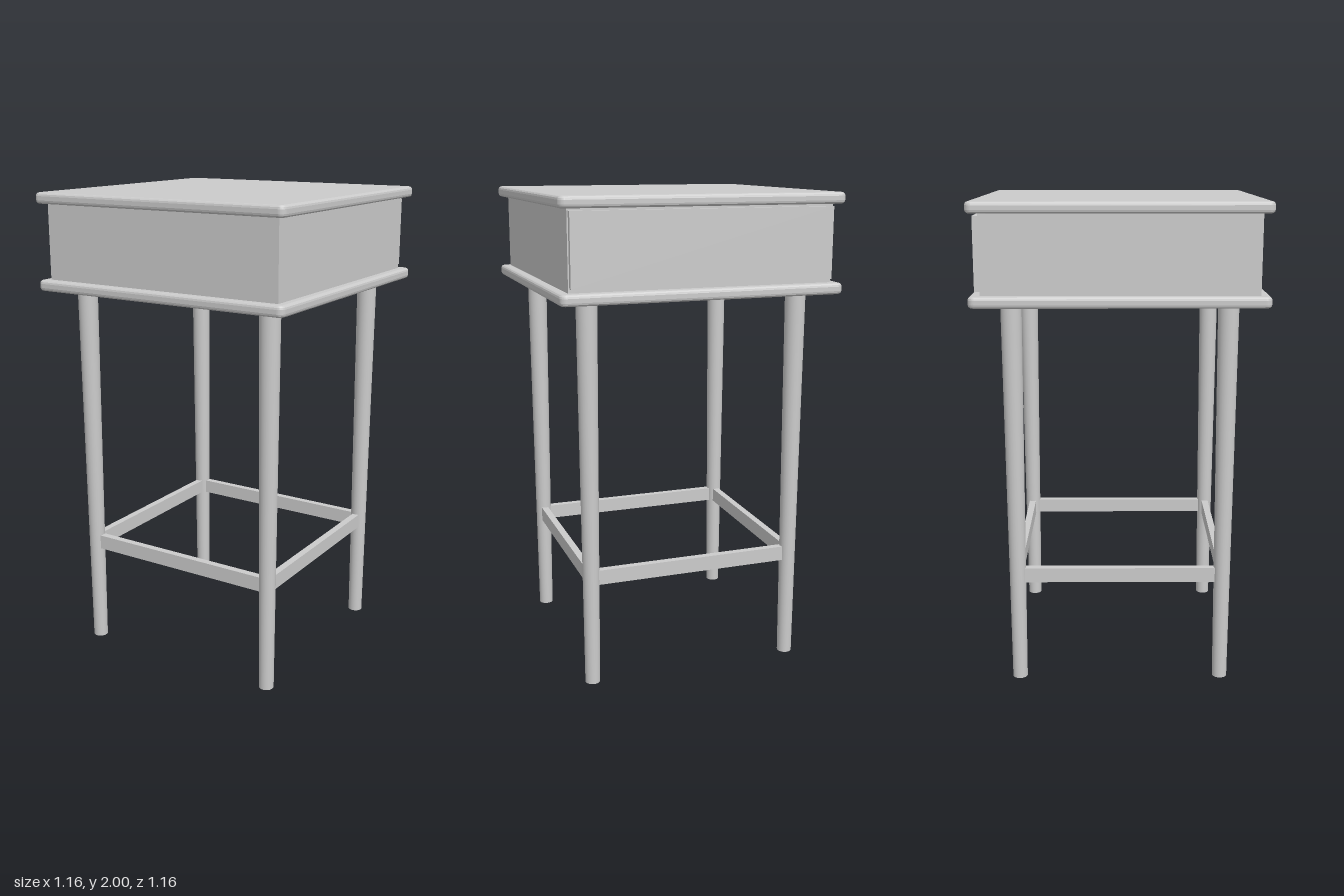
import * as THREE from 'three';

const material = new THREE.MeshStandardMaterial({ color: 0xcccccc });

function addMesh(parent, name, geometry, x, y, z) {
  const mesh = new THREE.Mesh(geometry, material);
  mesh.name = name;
  mesh.position.set(x, y, z);
  parent.add(mesh);
  return mesh;
}

function roundedSquare(half, r) {
  const s = new THREE.Shape();
  const c = half - r;
  s.absarc(c, c, r, 0, Math.PI / 2);
  s.absarc(-c, c, r, Math.PI / 2, Math.PI);
  s.absarc(-c, -c, r, Math.PI, Math.PI * 1.5);
  s.absarc(c, -c, r, Math.PI * 1.5, Math.PI * 2);
  s.closePath();
  return s;
}

// Square board with softened edges, lying flat from y = 0 up to its height
function boardGeometry(half, height, bevel) {
  const g = new THREE.ExtrudeGeometry(roundedSquare(half - bevel, 0.012), {
    depth: height - 2 * bevel, bevelThickness: bevel, bevelSize: bevel,
    bevelSegments: 3, curveSegments: 4,
  });
  g.rotateX(-Math.PI / 2);
  g.translate(0, bevel, 0);
  return g;
}

export function createModel() {
  const model = new THREE.Group();
  model.name = 'sideTable';

  // Top and bottom boards
  const board = boardGeometry(0.58, 0.045, 0.014);
  addMesh(model, 'topBoard', board, 0, 1.955, 0);
  addMesh(model, 'bottomBoard', board, 0, 1.6, 0);

  // Cabinet box and the drawer front on its back side
  addMesh(model, 'cabinet', new THREE.BoxGeometry(1.08, 0.32, 1.075), 0, 1.8, 0.0025);
  addMesh(model, 'drawerFront', new THREE.BoxGeometry(1.07, 0.285, 0.024), 0, 1.803, -0.545);

  // Tapered round legs
  const legX = 0.442, legZ = 0.427;
  const leg = new THREE.CylinderGeometry(0.042, 0.031, 1.61, 24);
  for (const sx of [-1, 1]) {
    for (const sz of [-1, 1]) {
      const name = (sz > 0 ? 'front' : 'back') + (sx > 0 ? 'Left' : 'Right') + 'Leg';
      addMesh(model, name, leg, sx * legX, 0.805, sz * legZ);
    }
  }

  // Stretchers joining the legs
  const barX = new THREE.BoxGeometry(2 * legX, 0.062, 0.03);
  const barZ = new THREE.BoxGeometry(0.03, 0.062, 2 * legZ);
  for (const s of [-1, 1]) {
    addMesh(model, s > 0 ? 'frontStretcher' : 'backStretcher', barX, 0, 0.465, s * legZ);
    addMesh(model, s > 0 ? 'leftStretcher' : 'rightStretcher', barZ, s * legX, 0.465, 0);
  }

  return model;
}
